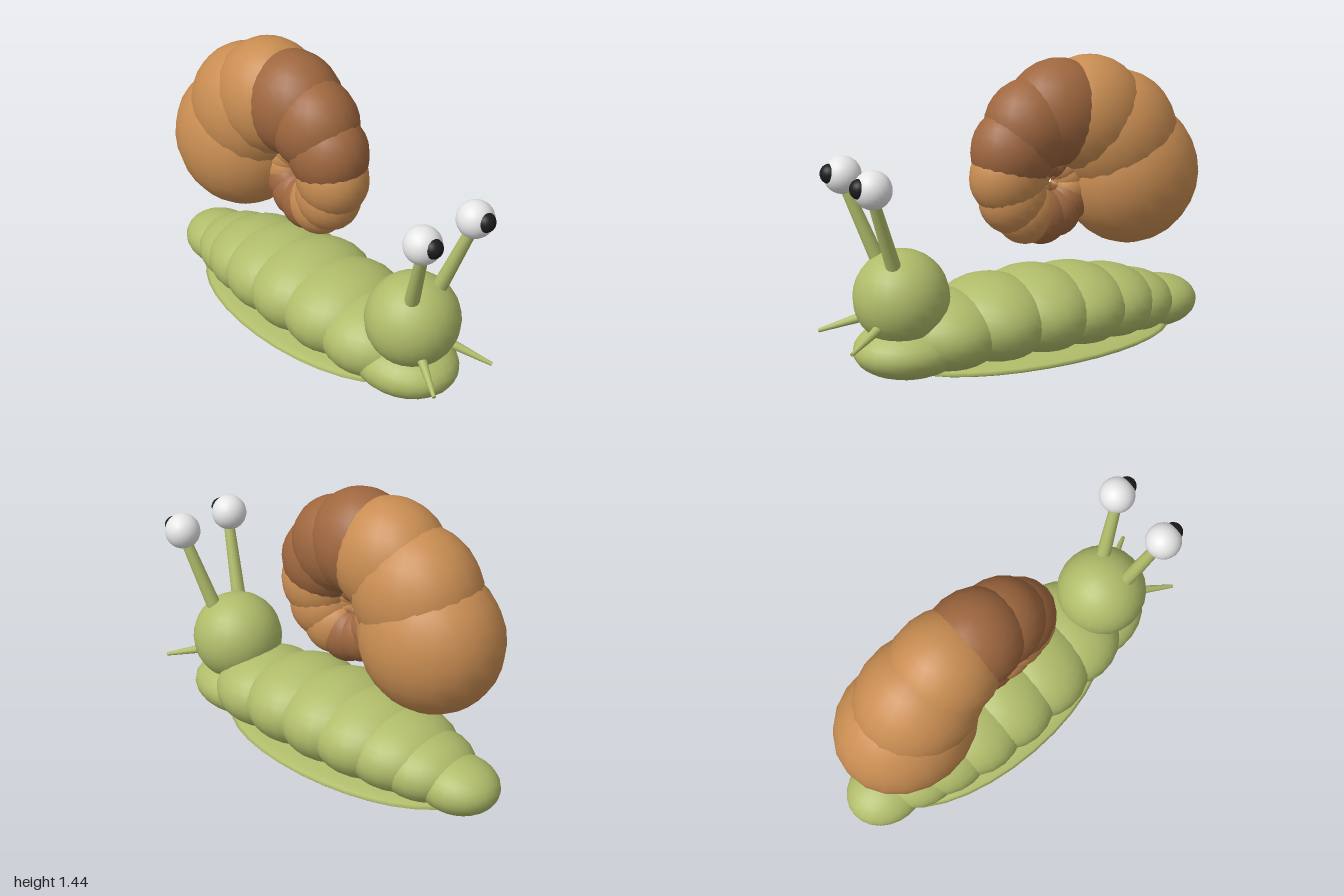
import * as THREE from 'three';

const mat = (name, color) => {
  const m = new THREE.MeshStandardMaterial({ color });
  m.name = name;
  return m;
};

export function createModel() {
  const skin = mat('green skin', 0xb0bc6a);
  const shellLight = mat('light shell', 0xc98d52);
  const shellDark = mat('dark shell', 0x9f673f);
  const white = mat('eye white', 0xe6e6e6);
  const black = mat('pupil black', 0x1c1c1c);
  const model = new THREE.Group();
  model.name = 'snail';

  // Sphere stretched to the given radii
  const ball = (parent, name, material, [x, y, z], [rx, ry, rz], w = 24, h = 16) => {
    const mesh = new THREE.Mesh(new THREE.SphereGeometry(1, w, h), material);
    mesh.name = name;
    mesh.position.set(x, y, z);
    mesh.scale.set(rx, ry, rz);
    parent.add(mesh);
    return mesh;
  };

  // Tapered rod between two points
  const rod = (parent, name, a, b, r0, r1) => {
    const from = new THREE.Vector3(...a), to = new THREE.Vector3(...b);
    const dir = to.clone().sub(from);
    const mesh = new THREE.Mesh(new THREE.CylinderGeometry(r1, r0, dir.length(), 12), skin);
    mesh.name = name;
    mesh.position.copy(from).add(to).multiplyScalar(0.5);
    mesh.quaternion.setFromUnitVectors(new THREE.Vector3(0, 1, 0), dir.normalize());
    parent.add(mesh);
  };

  // Body: overlapping ellipsoids [z, half width, top, half length]
  const body = new THREE.Group();
  body.name = 'body';
  model.add(body);
  [
    [0.61, 0.235, 0.29, 0.28],
    [0.42, 0.285, 0.395, 0.27],
    [0.18, 0.315, 0.435, 0.28],
    [-0.06, 0.325, 0.44, 0.28],
    [-0.27, 0.315, 0.42, 0.28],
    [-0.45, 0.28, 0.385, 0.27],
    [-0.6, 0.235, 0.335, 0.24],
    [-0.79, 0.18, 0.275, 0.21],
  ].forEach(([z, w, top, len]) => {
    const ry = (top - 0.015) / 2;
    ball(body, 'bodySegment', skin, [0, top - ry, z], [w, ry, len]);
  });

  // Flat foot and head
  ball(model, 'foot', skin, [0, 0.048, -0.09], [0.335, 0.043, 0.73], 32, 12);
  ball(model, 'head', skin, [0, 0.406, 0.655], [0.226, 0.226, 0.226]);

  // Eyes on stalks and lower feelers, mirrored
  for (const [side, s] of [['left', 1], ['right', -1]]) {
    const group = new THREE.Group();
    group.name = side + 'EyeAndFeeler';
    rod(group, 'eyeStalk', [s * 0.085, 0.575, 0.73], [s * 0.15, 0.93, 0.855], 0.036, 0.027);
    ball(group, 'eyeball', white, [s * 0.16, 0.978, 0.86], [0.088, 0.088, 0.088]);
    ball(group, 'pupil', black, [s * 0.16, 0.99, 0.921], [0.047, 0.047, 0.047]);
    rod(group, 'feeler', [s * 0.09, 0.31, 0.81], [s * 0.185, 0.245, 0.995], 0.024, 0.009);
    model.add(group);
  }

  // Shell: shrinking spheres along a logarithmic spiral, colours swap every three
  const shell = new THREE.Group();
  shell.name = 'shell';
  model.add(shell);
  for (let i = 0; i < 28; i++) {
    const k = Math.pow(0.9, i);
    const a = THREE.MathUtils.degToRad(-1.5 + 28.3 * i);
    const d = 0.455 * k, r = 0.356 * k;
    ball(shell, 'shellSegment', i % 6 < 3 ? shellLight : shellDark,
      [0, 0.855 + d * Math.sin(a), -0.15 - d * Math.cos(a)], [r * 0.87, r, r], 20, 14);
  }
  return model;
}
